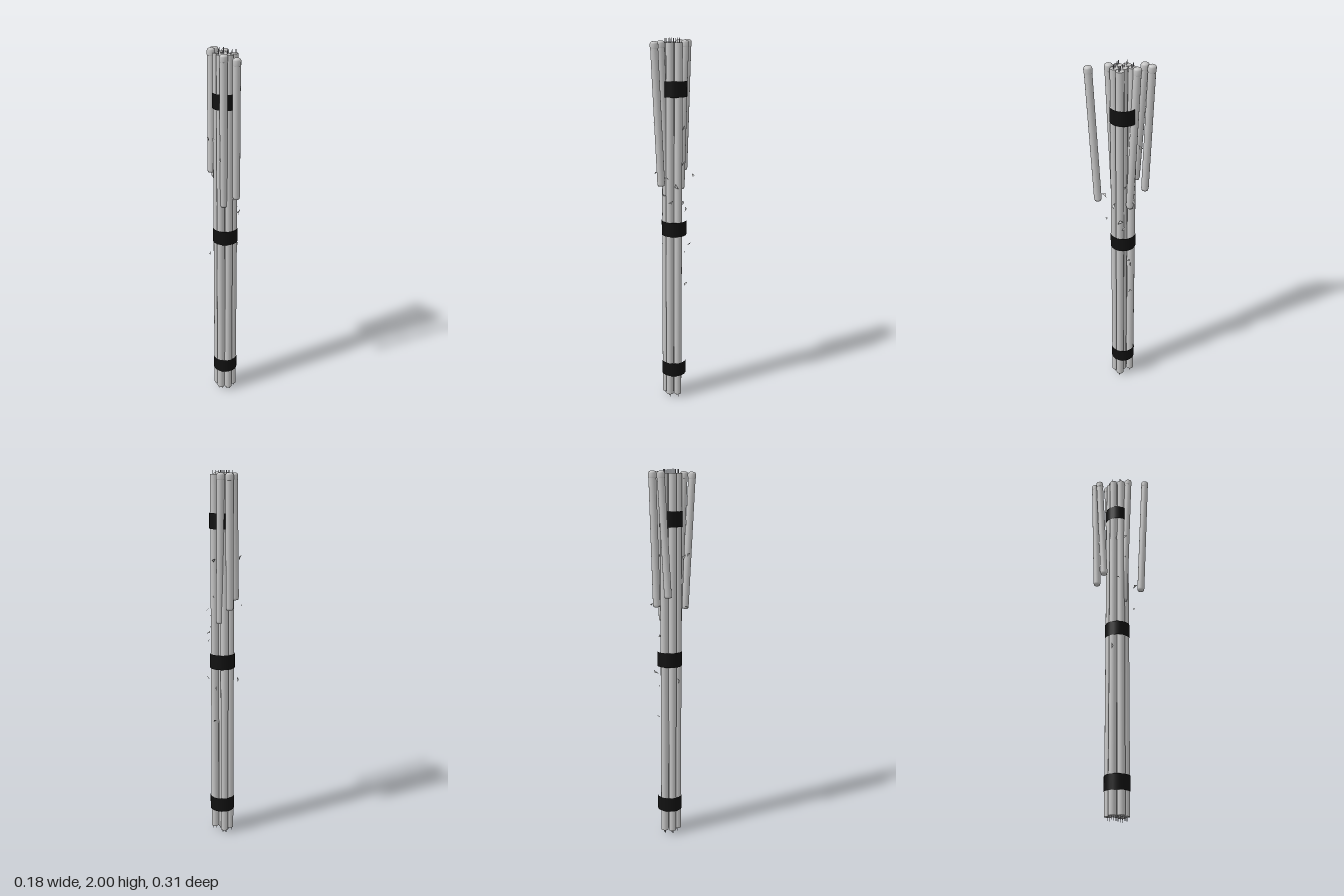
import * as THREE from 'three';

const V = (x, y, z) => new THREE.Vector3(x, y, z);

export function createModel() {
  const model = new THREE.Group();
  const mat = (name, color, extra = {}) => {
    const m = new THREE.MeshStandardMaterial({ color, ...extra });
    m.name = name;
    return m;
  };
  const glass = mat('pale grey glass', 0xc6c6c6, { side: THREE.DoubleSide });
  const metal = mat('pin metal', 0xa2a2aa);
  const tape = mat('black tape', 0x111111);
  const add = (parent, name, geometry, material, x = 0, y = 0, z = 0) => {
    const mesh = new THREE.Mesh(geometry, material);
    mesh.name = name;
    mesh.position.set(x, y, z);
    parent.add(mesh);
    return mesh;
  };

  const R = 0.021, CX = 0.008, CZ = -0.018;

  // whole tubes, stacked in a honeycomb, with two pins at each end
  const tubeGeo = new THREE.CylinderGeometry(R, R, 1.96, 12);
  const pinGeo = new THREE.CylinderGeometry(0.002, 0.002, 0.02, 6);
  const spots = [[-1, 0], [0, 0], [1, 0], [-0.5, 1], [0.5, 1], [-0.5, -1]];
  for (const [i, j] of spots) {
    const tube = new THREE.Group();
    tube.name = 'wholeTube';
    tube.position.set(CX + i * 0.0425, 0, CZ + j * 0.0375);
    add(tube, 'tubeBody', tubeGeo, glass, 0, 1, 0);
    for (const y of [0.01, 1.99])
      for (const x of [-0.009, 0.009]) add(tube, 'pin', pinGeo, metal, x, y, 0);
    model.add(tube);
  }

  // tape bands around the bundle
  const bandGeo = new THREE.CylinderGeometry(0.067, 0.067, 0.08, 24, 1, true);
  for (const y of [0.18, 1.01, 1.75]) add(model, 'tapeBand', bandGeo, tape, CX, y, CZ);

  // broken tubes: rounded cap at the top, narrowed broken end at the bottom
  const broken = [
    [V(0.073, 1.99, 0.134), V(0.073, 1.265, 0.096)],
    [V(-0.058, 1.99, -0.135), V(-0.055, 1.305, -0.113)],
    [V(-0.07, 1.99, -0.095), V(-0.07, 1.35, -0.056)],
    [V(0.005, 1.99, 0.06), V(0.003, 1.19, 0.028)],
    [V(0, 1.99, -0.085), V(0.012, 1.22, -0.057)],
  ];
  for (const [top, bottom] of broken) {
    const axis = top.clone().sub(bottom);
    const L = axis.length();
    const group = new THREE.Group();
    group.name = 'brokenTube';
    group.position.copy(bottom);
    group.quaternion.setFromUnitVectors(V(0, 1, 0), axis.normalize());
    const body = [[0, 0], [0.017, 0], [0.0195, 0.012], [0.0195, L - 0.036]];
    const cap = [[0.0195, L - 0.036], [R, L - 0.034], [R, L - 0.012], [0.018, L - 0.005], [0.01, L - 0.001], [0, L]];
    for (const [name, pts] of [['brokenBody', body], ['endCap', cap]])
      add(group, name, new THREE.LatheGeometry(pts.map(p => new THREE.Vector2(...p)), 14), glass);
    model.add(group);
  }

  // glass splinters around the bundle
  let seed = 7;
  const rnd = () => (seed = (seed * 16807) % 2147483647) / 2147483647;
  const shards = [
    [-0.08, 1.30, 0.045], [-0.073, 0.9, 0.003], [-0.045, 1.57, 0.068], [0.066, 1.3, 0.06],
    [0.084, 1.17, 0.043], [0.074, 1.25, 0.008], [0.08, 1.16, -0.03], [0.05, 1.36, -0.045],
    [0.07, 0.92, -0.075], [0.065, 1.3, -0.1], [0.036, 0.68, -0.075], [-0.03, 1.5, -0.07],
    [-0.03, 1.56, -0.093], [0.045, 1.55, -0.055], [0.075, 1.12, -0.05], [0.03, 0.86, -0.07],
    [-0.075, 1.56, 0.03], [-0.01, 1.46, 0.05],
  ];
  for (const [x, y, z] of shards) {
    const s = 0.011 + 0.006 * rnd();
    const tri = new THREE.Shape([new THREE.Vector2(-s, -s * 0.4), new THREE.Vector2(s, -s * 0.2), new THREE.Vector2(-s * 0.3, s * 0.5)]);
    const shard = add(model, 'glassShard', new THREE.ShapeGeometry(tri), glass, x, y, z);
    shard.rotation.set(rnd() * 6, rnd() * 6, rnd() * 6);
  }
  return model;
}
